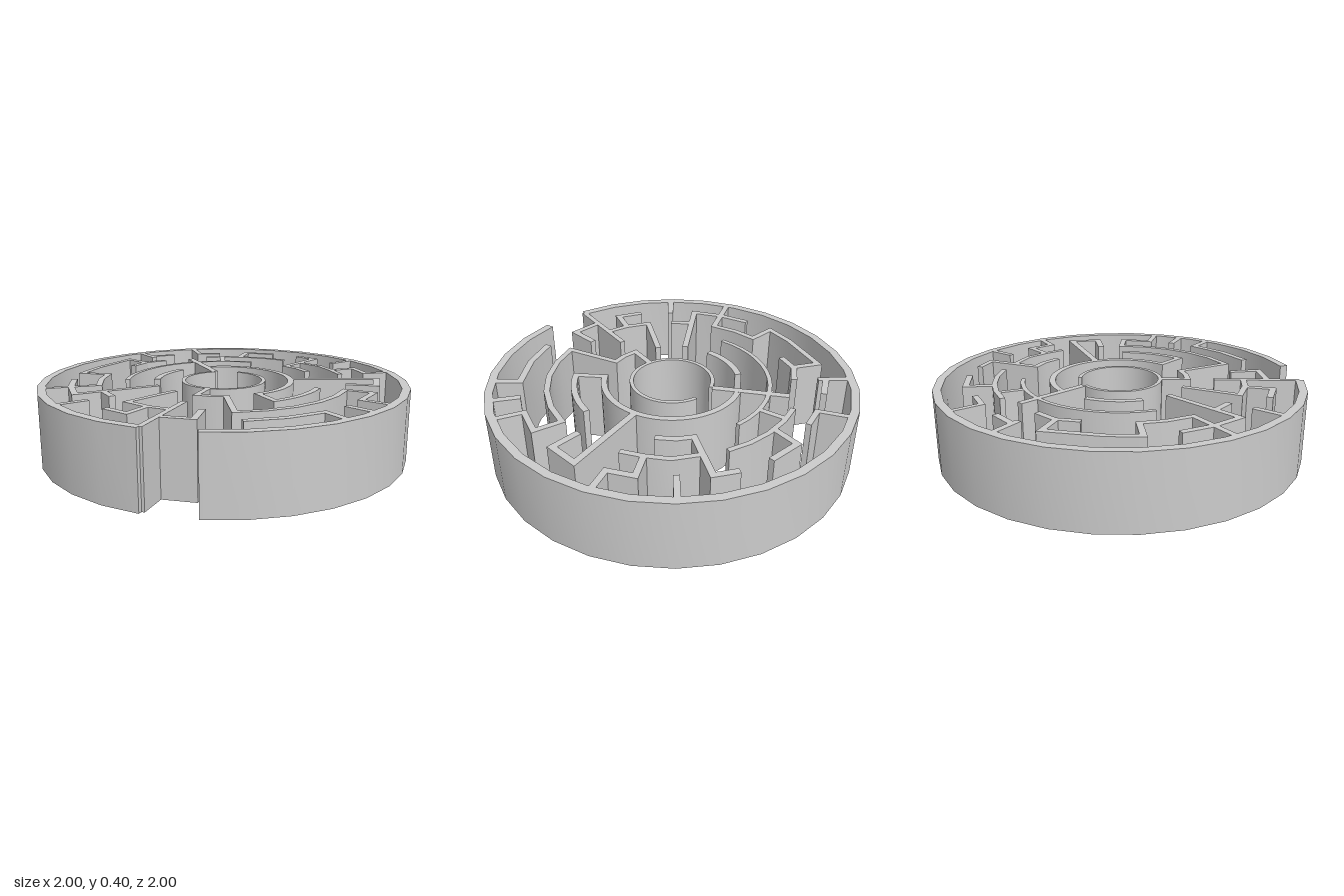
import * as THREE from 'three';
import { toCreasedNormals } from 'three/addons/utils/BufferGeometryUtils.js';

const HEIGHT = 0.395;
const material = new THREE.MeshStandardMaterial({ color: 0xcccccc });

// Points [x, z] on a circle; angle in degrees from the front (+z) towards +x
function arc(r, from, to, segments) {
  return Array.from({ length: segments + 1 }, (_, i) => {
    const a = THREE.MathUtils.degToRad(from + (to - from) * i / segments);
    return [r * Math.sin(a), r * Math.cos(a)];
  });
}

// Upright wall of even thickness with mitred corners along a path of [x, z] points
function wall(name, path, thickness = 0.037) {
  const p = path.map(([x, z]) => new THREE.Vector2(x, -z));
  const dirs = p.slice(1).map((q, i) => q.clone().sub(p[i]).normalize());
  const left = [], right = [];
  p.forEach((q, i) => {
    const a = dirs[Math.max(i - 1, 0)], b = dirs[Math.min(i, dirs.length - 1)];
    const n = new THREE.Vector2(-a.y - b.y, a.x + b.x).normalize();
    const offset = n.clone().multiplyScalar(thickness / 2 / (n.y * a.x - n.x * a.y));
    left.push(q.clone().add(offset));
    right.unshift(q.clone().sub(offset));
  });
  const geo = new THREE.ExtrudeGeometry(new THREE.Shape([...left, ...right]), { depth: HEIGHT, bevelEnabled: false });
  geo.rotateX(-Math.PI / 2);
  const mesh = new THREE.Mesh(toCreasedNormals(geo, 0.45), material);
  mesh.name = name;
  return mesh;
}

export function createModel() {
  const maze = new THREE.Group();
  maze.name = 'circularMaze';
  const add = (...args) => maze.add(wall(...args));

  // Concentric rings
  add('outerRing', arc(0.98, 360, 15.5, 29), 0.045);
  add('centreRing', arc(0.22, 180, -145, 60), 0.021);
  add('middleRing', [...arc(0.369, 215, 50, 32), ...arc(0.53, 50, 90, 8)], 0.033);
  add('leftInnerArc', arc(0.367, 243.5, 290, 10), 0.036);
  add('leftOuterArc', arc(0.53, 183, 291, 14), 0.024);
  add('diagonalWall', [[-0.13, -0.19], [-0.415, -0.485]]);

  // Back walls
  add('backArc', arc(0.68, 168, 211, 4), 0.028);
  add('backArcLink', [[-0.2, -0.49], [-0.255, -0.62]], 0.03);
  add('backHook', [[-0.15, -0.67], [-0.16, -0.815], [0.02, -0.835]], 0.034);
  add('backLeftHook', [[-0.535, -0.8], [-0.435, -0.67], [-0.315, -0.73]], 0.03);
  add('backRightZigzag', [[0.19, -0.815], [0.31, -0.77], [0.21, -0.49], [0.29, -0.455], [0.37, -0.385]], 0.034);
  add('backRightArc', [[0.265, -0.62], [0.4, -0.565], [0.49, -0.475], [0.565, -0.38]], 0.03);
  add('backRightLink', [[0.49, -0.475], [0.6, -0.575], [0.69, -0.465], [0.81, -0.54]], 0.034);
  add('backRightStub', [[0.535, -0.81], [0.445, -0.675]], 0.032);

  // Right walls
  add('rightHook', [[0.35, -0.16], [0.78, -0.335], [0.81, -0.17], [0.65, -0.14]], 0.036);
  add('rightLongWall', [[0.95, 0.205], [0.795, 0.17], [0.825, 0], [0.675, -0.01],
    ...arc(0.675, 78, 26, 4), [0.15, 0.34], [0.08, 0.365], [0, 0.372], [0, 0.22]], 0.032);
  add('rightStub', [[0.75, 0.31], [0.885, 0.365]], 0.036);
  add('frontRightArc', [[0.8, 0.535], [0.685, 0.455], [0.545, 0.615], [0.38, 0.73]]);

  // Front walls
  add('entranceWall', [[0, 0.515], [0, 0.98]], 0.03);
  add('entranceHook', [[0.14, 0.62], [0.17, 0.78], [0, 0.805]], 0.034);
  add('frontHook', [[-0.135, 0.335], [-0.255, 0.625], [-0.12, 0.668], [0, 0.675]], 0.032);
  add('frontBranch', [[-0.125, 0.67], [-0.155, 0.81], [-0.295, 0.77]], 0.034);
  add('frontLeftStub', [[-0.545, 0.8], [-0.45, 0.665]], 0.034);
  add('frontLeftHook', [[-0.27, 0.255], [-0.58, 0.585], [-0.69, 0.45], [-0.77, 0.295]], 0.034);
  add('frontLeftBranch', [[-0.47, 0.485], [-0.38, 0.555]], 0.034);

  // Left walls
  add('leftLongWall', [[-0.8, 0.535], [-0.57, 0.365], [-0.635, 0.235], [-0.665, 0.11], [-0.82, 0.13],
    [-0.82, -0.04], [-0.77, -0.33], [-0.635, -0.28], [-0.545, -0.38]], 0.033);
  add('leftBranch', [[-0.63, -0.28], [-0.65, -0.16]], 0.033);
  add('backLeftStub', [[-0.79, -0.54], [-0.655, -0.45]], 0.034);
  add('backLeftCross', [[-0.69, -0.475], [-0.575, -0.575]], 0.034);
  return maze;
}
